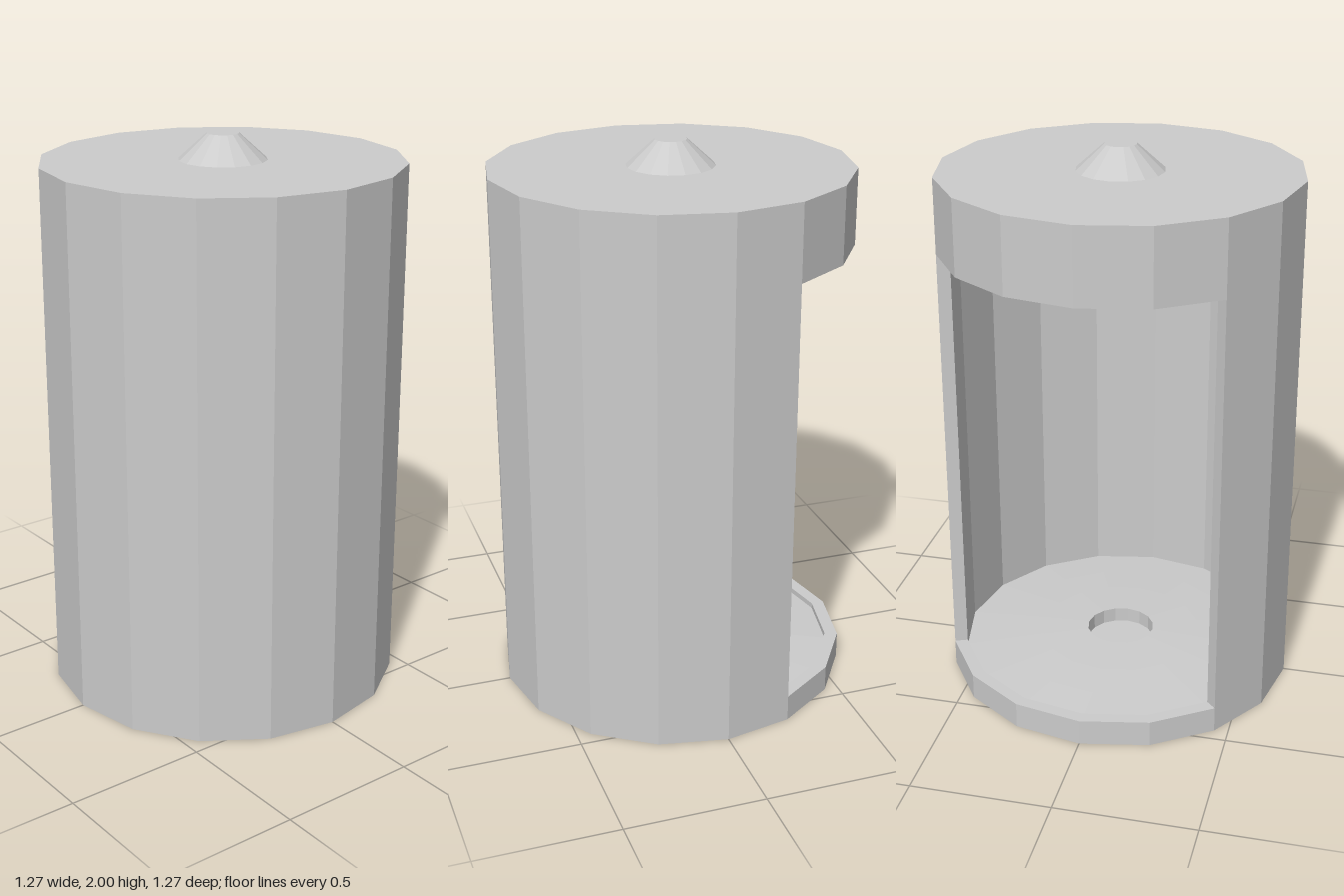
import * as THREE from 'three';

const SIDES = 16;
const STEP = (Math.PI * 2) / SIDES;
const R = 0.637, INNER = 0.59;      // wall radii
const BAND_LOW = 0.095, BAND_HIGH = 1.64, TOP = 1.91;

const material = new THREE.MeshStandardMaterial({
  color: 0xcccccc, flatShading: true, side: THREE.DoubleSide,
});

// Faceted turned part; profile runs counter-clockwise in (radius, y)
function turned(name, profile, firstSide = 0, sides = SIDES) {
  const points = profile.map(([r, y]) => new THREE.Vector2(r, y));
  const mesh = new THREE.Mesh(
    new THREE.LatheGeometry(points, sides, firstSide * STEP, sides * STEP), material);
  mesh.name = name;
  return mesh;
}

// Flat strip closing the wall's thickness at one edge of the opening
function jamb(name, side) {
  const height = BAND_HIGH - BAND_LOW;
  const mesh = new THREE.Mesh(new THREE.PlaneGeometry(R - INNER, height), material);
  const angle = side * STEP, mid = (R + INNER) / 2;
  mesh.position.set(Math.sin(angle) * mid, BAND_LOW + height / 2, Math.cos(angle) * mid);
  mesh.rotation.y = angle - Math.PI / 2;
  mesh.name = name;
  return mesh;
}

export function createModel() {
  const model = new THREE.Group();
  model.name = 'canister';

  // Side wall: eleven of sixteen panels, leaving the back opening
  model.add(turned('outerWall', [[R, BAND_LOW], [R, BAND_HIGH]], 10, 11));
  model.add(turned('innerWall', [[INNER, BAND_HIGH], [INNER, BAND_LOW]], 10, 11));
  model.add(jamb('rightJamb', 10), jamb('leftJamb', 5));

  // Lid with its rim band
  model.add(turned('lid', [
    [0.145, 1.885], [INNER, 1.885], [INNER, BAND_HIGH], [R, BAND_HIGH], [R, TOP], [0.155, TOP],
  ]));

  // Hollow tapered knob
  model.add(turned('knob', [
    [0.155, TOP], [0.056, 2], [0, 2], [0, 1.985], [0.05, 1.985], [0.145, 1.885],
  ]));

  // Base with a rim band and a shallow dished floor
  model.add(turned('base', [
    [0.13, 0.085], [0.3, 0.075], [0.44, 0.055], [R, 0], [R, BAND_LOW], [INNER, BAND_LOW],
    [INNER, 0.075], [0.44, 0.085], [0.3, 0.093], [0.125, 0.1],
  ]));

  // Round cup sunk into the middle of the floor
  model.add(turned('floorCup', [
    [0, 0.035], [0.13, 0.035], [0.13, 0.085],
  ]));
  model.add(turned('floorCupInside', [
    [0.125, 0.1], [0.125, 0.045], [0, 0.045],
  ]));

  return model;
}
